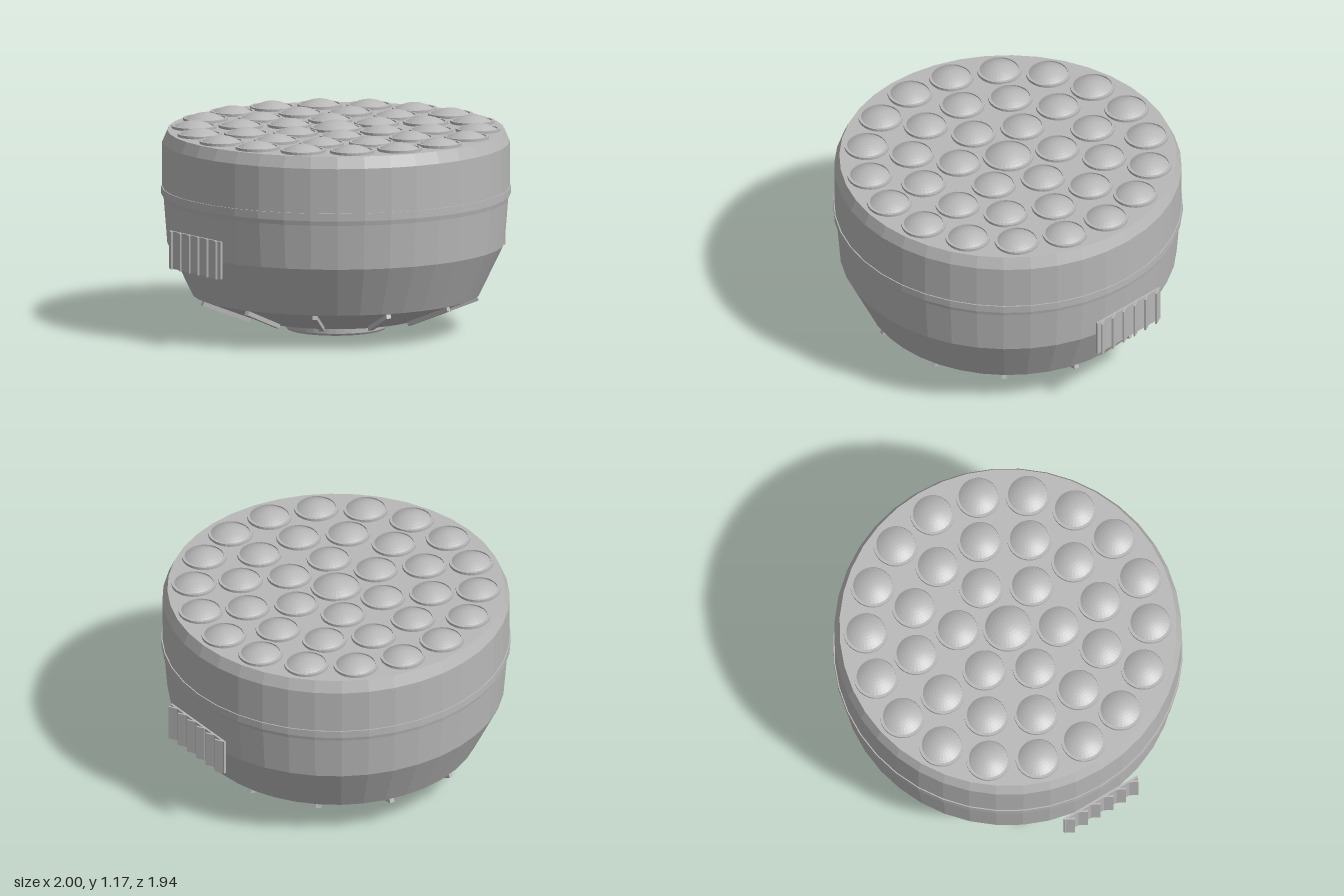
import * as THREE from 'three';

const V = (pairs) => pairs.map(([r, y]) => new THREE.Vector2(r, y));

export function createModel() {
  const model = new THREE.Group();
  const grey = new THREE.MeshStandardMaterial({ color: 0xb8b8b8, flatShading: true });
  grey.name = 'grey';

  const add = (name, geometry, parent = model) => {
    const mesh = new THREE.Mesh(geometry, grey);
    mesh.name = name;
    parent.add(mesh);
    return mesh;
  };
  const lathe = (pairs, segments) => new THREE.LatheGeometry(V(pairs), segments);
  // Flat-sided ring standing between two heights
  const ring = (inner, outer, y0, y1, segments = 32) =>
    lathe([[inner, y0], [outer, y0], [outer, y1], [inner, y1], [inner, y0]], segments);

  // Housing: shallow cone below, bowl, straight wall, chamfered top
  add('housing', lathe([[0, 0.07], [0.47, 0.07], [0.8, 0.2], [0.935, 0.48], [0.955, 0.73],
    [0.963, 0.77], [0.963, 1.05], [0.935, 1.115], [0, 1.115]], 40));
  add('seamBand', ring(0.94, 0.969, 0.757, 0.8, 40));

  // Domed lenses, each in a raised rim
  const lenses = new THREE.Group();
  lenses.name = 'lenses';
  model.add(lenses);
  const addLens = (x, z, radius, height) => {
    const profile = [];
    const steps = 6;
    for (let i = 0; i <= steps; i++) {
      const t = 1 - i / steps;
      profile.push([radius * t, 1.12 + height * (1 - t * t)]);
    }
    add('lensDome', lathe(profile, 28), lenses).position.set(x, 0, z);
    add('lensRim', ring(radius - 0.004, radius + 0.011, 1.11, 1.13, 28), lenses).position.set(x, 0, z);
  };
  addLens(0, 0, 0.131, 0.048);
  for (const [count, distance, offset] of [[6, 0.28, 0], [12, 0.533, 15], [18, 0.788, 0]]) {
    for (let i = 0; i < count; i++) {
      const a = THREE.MathUtils.degToRad(offset + (i * 360) / count);
      addLens(distance * Math.cos(a), distance * Math.sin(a), 0.113, 0.038);
    }
  }

  // Louvred vents on both sides
  for (const side of [1, -1]) {
    const vent = new THREE.Group();
    vent.name = side > 0 ? 'leftVent' : 'rightVent';
    model.add(vent);
    add('ventPlate', new THREE.BoxGeometry(0.012, 0.21, 0.48), vent).position.set(side * 0.968, 0.505, 0);
    for (let i = 0; i < 6; i++) {
      const louvre = add('louvre', new THREE.BoxGeometry(0.01, 0.21, 0.052), vent);
      louvre.position.set(side * 0.983, 0.505, (i - 2.5) * 0.083);
      louvre.rotation.y = side * 0.5;
    }
  }

  // Twelve ribs radiating over the lower cone
  for (let i = 0; i < 12; i++) {
    const spoke = new THREE.Group();
    spoke.name = 'underRib';
    spoke.rotation.y = THREE.MathUtils.degToRad(15 + i * 30);
    model.add(spoke);
    const rib = add('rib', new THREE.BoxGeometry(0.3, 0.028, 0.026), spoke);
    rib.position.set(0.655, 0.132, 0);
    rib.rotation.z = Math.atan2(0.13, 0.33);
  }

  // Foot with a recessed round grille underneath
  add('foot', lathe([[0, 0.03], [0.225, 0.03], [0.225, 0], [0.272, 0], [0.28, 0.012], [0.28, 0.075]], 40));
  const grille = new THREE.Group();
  grille.name = 'grille';
  model.add(grille);
  for (const r of [0.055, 0.11, 0.165, 0.205]) {
    add('grilleRing', ring(r - 0.007, r + 0.007, 0.008, 0.032), grille);
  }
  for (let i = 0; i < 4; i++) {
    const bar = add('grilleBar', new THREE.BoxGeometry(0.45, 0.022, 0.014), grille);
    bar.position.y = 0.021;
    bar.rotation.y = (i * Math.PI) / 4;
  }

  return model;
}
